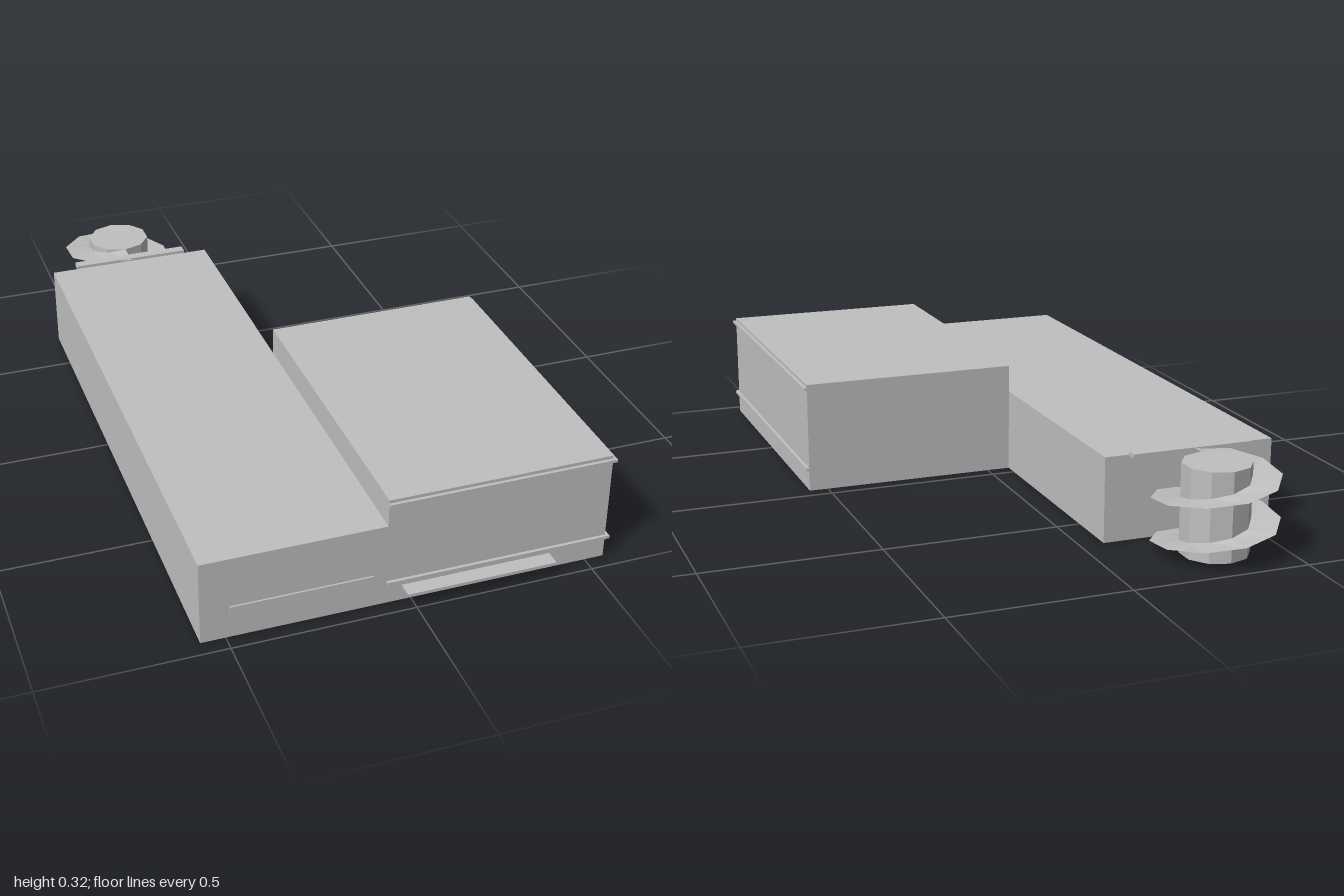
import * as THREE from 'three';

export function createModel() {
  const group = new THREE.Group();
  const grey = new THREE.MeshStandardMaterial({ color: 0xc0c0c0, flatShading: true, side: THREE.DoubleSide });
  grey.name = 'concrete grey';

  const add = (name, geometry, parent = group) => {
    const mesh = new THREE.Mesh(geometry, grey);
    mesh.name = name;
    parent.add(mesh);
    return mesh;
  };

  // Box given by its limits; an open one has no floor
  const box = (name, [x0, x1], [y0, y1], [z0, z1], open = false) => {
    let g = new THREE.BoxGeometry(x1 - x0, y1 - y0, z1 - z0);
    if (open) {
      const index = Array.from(g.index.array);
      index.splice(18, 6); // the -y face
      g.setIndex(index);
    }
    g.translate((x0 + x1) / 2, (y0 + y1) / 2, (z0 + z1) / 2);
    return add(name, g);
  };

  // Building shells, hollow from below
  box('longWing', [-0.567, -0.068], [0, 0.241], [-0.663, 0.956], true);
  box('mainBlock', [-0.068, 0.555], [0, 0.32], [0.043, 0.956], true);

  // Thin ledges round the front and left side of the main block
  for (const [name, y0, y1] of [['lowerLedge', 0.06, 0.069], ['upperLedge', 0.303, 0.311]]) {
    box(name + 'Front', [-0.068, 0.564], [y0, y1], [0.956, 0.965]);
    box(name + 'Side', [0.555, 0.564], [y0, y1], [0.043, 0.956]);
  }

  // Front details and rear landing
  box('frontSign', [-0.49, -0.106], [0.075, 0.096], [0.955, 0.961]);
  box('entranceSlab', [-0.025, 0.393], [0.041, 0.047], [0.956, 1.0]);
  box('rearLanding', [-0.49, -0.137], [0.238, 0.25], [-0.693, -0.663]);

  // Spiral ramp round a ten-sided core
  const tower = new THREE.Group();
  tower.name = 'spiralTower';
  tower.position.set(-0.315, 0, -0.826);
  group.add(tower);

  const sides = 10, inner = 0.095, outer = 0.174, height = 0.25;
  add('towerCore', new THREE.CylinderGeometry(inner, inner, height, sides, 1, true).translate(0, height / 2, 0), tower);
  add('towerCap', new THREE.CircleGeometry(inner, sides).rotateX(-Math.PI / 2).rotateY(Math.PI / 2).translate(0, height, 0), tower);

  const turns = 2, steps = sides * turns, points = [], faces = [];
  for (let i = 0; i <= steps; i++) {
    const a = (i / sides) * Math.PI * 2;
    const y = 0.01 + (i / steps) * 0.24;
    for (const r of [inner, outer]) points.push(r * Math.sin(a), y, r * Math.cos(a));
    if (i < steps) {
      const k = i * 2;
      faces.push(k, k + 1, k + 3, k, k + 3, k + 2);
    }
  }
  const ramp = new THREE.BufferGeometry();
  ramp.setAttribute('position', new THREE.Float32BufferAttribute(points, 3));
  ramp.setIndex(faces);
  ramp.computeVertexNormals();
  add('spiralRamp', ramp, tower);

  return group;
}
